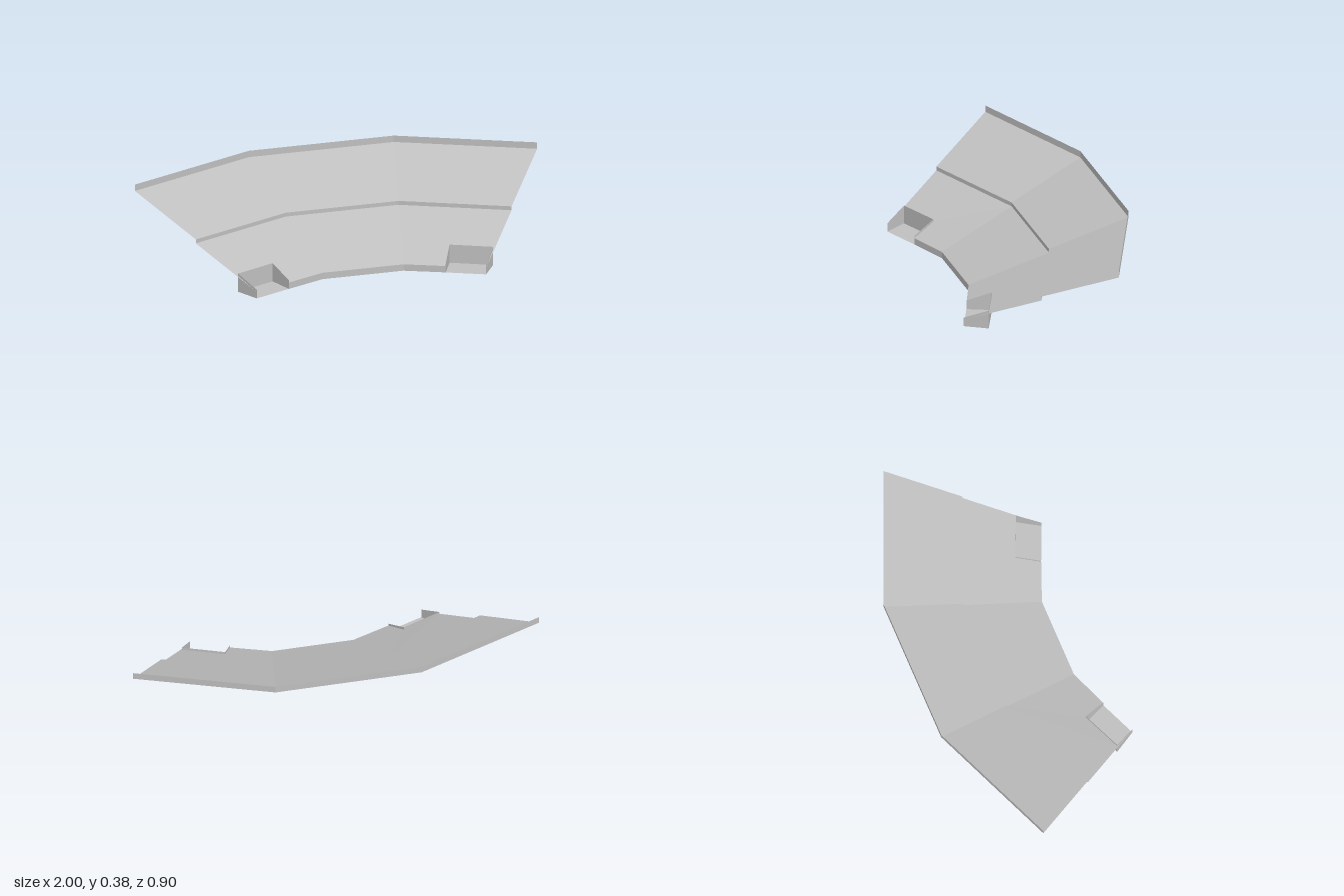
import * as THREE from 'three';

export function createModel() {
  const group = new THREE.Group();
  const concrete = new THREE.MeshStandardMaterial({ color: 0xbfbfbf, side: THREE.DoubleSide });
  concrete.name = 'concrete grey';

  const mirror = (p) => [-p[0], p[1], p[2]];
  const at = (p, y) => [p[0], y, p[1]];

  // Flat polygons, each fanned into triangles, as one open surface
  function surface(name, faces) {
    const pos = [];
    for (const f of faces)
      for (let i = 1; i < f.length - 1; i++) pos.push(...f[0], ...f[i], ...f[i + 1]);
    const geo = new THREE.BufferGeometry();
    geo.setAttribute('position', new THREE.Float32BufferAttribute(pos, 3));
    geo.computeVertexNormals();
    const mesh = new THREE.Mesh(geo, concrete);
    mesh.name = name;
    group.add(mesh);
  }
  const mirrored = (faces) => faces.map((f) => f.map(mirror).reverse());

  // Plan corners [x, z] of the left half: bend and end of each bent line
  const inner = { bend: [0.2, 0.3], end: [0.57, 0.45] };
  const middle = { bend: [0.28, -0.08], end: [0.785, 0.13] };
  const outer = { bend: [0.36, -0.455], end: [1, -0.19] };
  // Entrance corners cut from the end of the lower tier
  const frontIn = [0.39, 0.375], backIn = [0.44, 0.262], backOut = [0.634, 0.345];

  // Vertical strip along a bent line in three straight parts
  function riser(name, bend, end, y0, y1) {
    const wing = [[at(bend, y0), at(end, y0), at(end, y1), at(bend, y1)]];
    const b0 = at(bend, y0), b1 = at(bend, y1);
    surface(name, [...wing, ...mirrored(wing), [mirror(b0), b0, b1, mirror(b1)]]);
  }
  riser('frontRiser', inner.bend, frontIn, 0, 0.033);
  riser('middleRiser', middle.bend, middle.end, 0.182, 0.202);
  riser('backRiser', outer.bend, outer.end, 0.35, 0.383);

  // Sloping tiers: a centre panel and two angled wings
  function tier(name, a, b, ya, yb, wing) {
    const p = at(a.bend, ya), q = at(b.bend, yb);
    surface(name, [[mirror(p), p, q, mirror(q)], ...wing, ...mirrored(wing)]);
  }
  const A = at(inner.bend, 0.033), B = at(middle.bend, 0.182), M = at(middle.end, 0.182);
  const Q = at(backIn, 0.081), R = at(backOut, 0.081);
  tier('lowerTier', inner, middle, 0.033, 0.182, [
    [A, at(frontIn, 0.033), Q, B],
    [Q, R, M, B],
    [R, at(inner.end, 0.033), M],
  ]);
  tier('upperTier', middle, outer, 0.202, 0.35, [
    [at(middle.bend, 0.202), at(middle.end, 0.202), at(outer.end, 0.35), at(outer.bend, 0.35)],
  ]);

  // Sunken entrances: floor, sloping side walls and back wall, open at the front
  const low = 0.045, high = 0.094, f = inner.end;
  const entrance = [
    [at(frontIn, 0), at(f, 0), at(backOut, 0), at(backIn, 0)],
    [at(frontIn, 0), at(backIn, 0), at(backIn, high), at(frontIn, low)],
    [at(backIn, 0), at(backOut, 0), at(backOut, high), at(backIn, high)],
    [at(backOut, 0), at(f, 0), at(f, low), at(backOut, high)],
  ];
  surface('leftEntrance', entrance);
  surface('rightEntrance', mirrored(entrance));

  return group;
}
